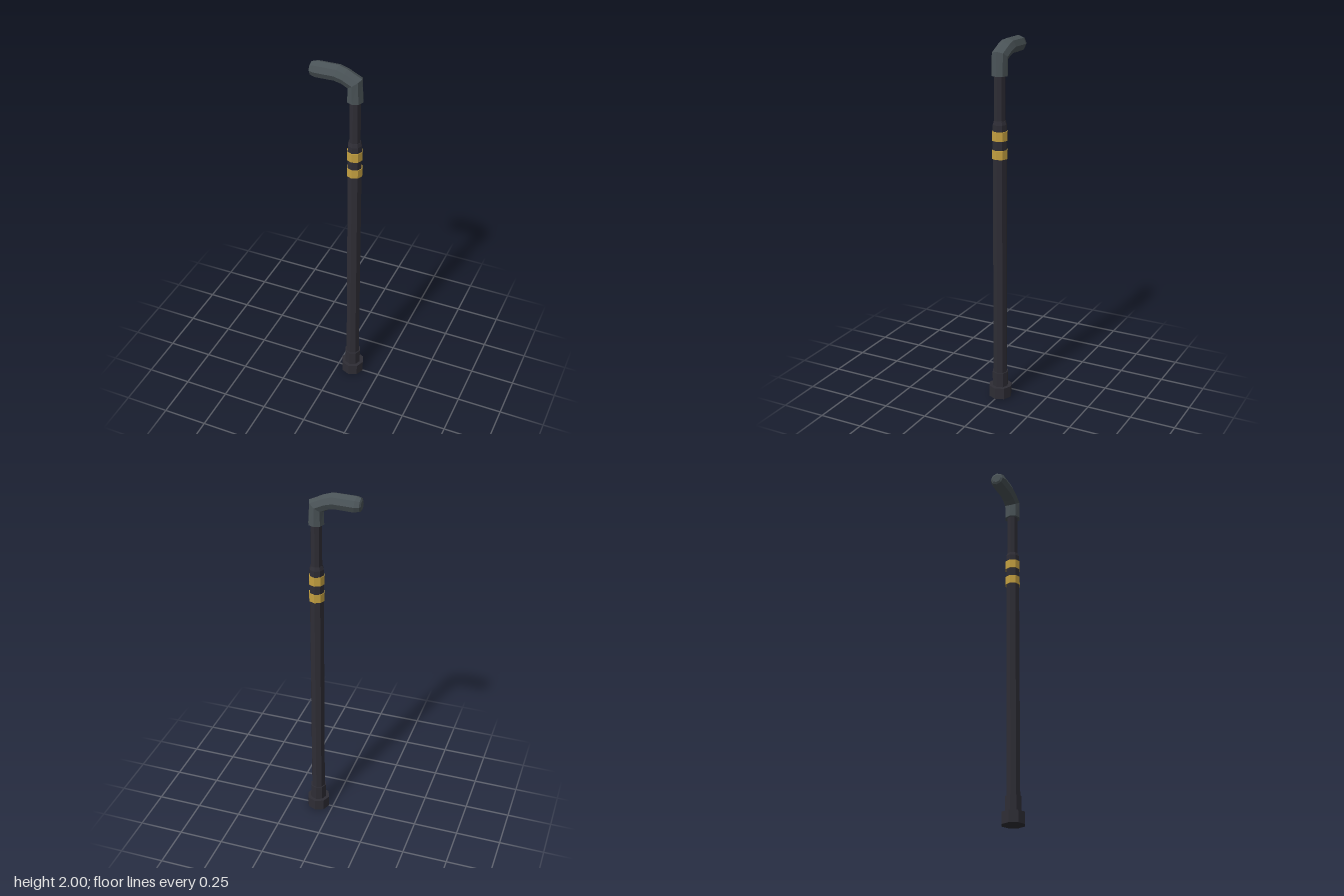
import * as THREE from 'three';

const AXIS_X = 0.088;
const SIDES = 8;

const makeMaterial = (name, color) => {
  const m = new THREE.MeshStandardMaterial({ color, flatShading: true });
  m.name = name;
  return m;
};

// Skin octagonal rings, each given by its inner and outer point in the xy plane and its half width in z
function loftHandle(rings) {
  const pos = [];
  const index = [];
  for (const [ix, iy, ox, oy, w] of rings) {
    for (let j = 0; j < SIDES; j++) {
      const a = (j / SIDES) * Math.PI * 2;
      const t = (1 + Math.cos(a)) / 2;
      pos.push(ix + (ox - ix) * t, iy + (oy - iy) * t, w * Math.sin(a));
    }
  }
  for (let i = 0; i < rings.length - 1; i++) {
    for (let j = 0; j < SIDES; j++) {
      const a = i * SIDES + j;
      const b = i * SIDES + ((j + 1) % SIDES);
      index.push(a, a + SIDES, b, b, a + SIDES, b + SIDES);
    }
  }
  // End caps
  const last = (rings.length - 1) * SIDES;
  for (let j = 1; j < SIDES - 1; j++) {
    index.push(0, j, j + 1);
    index.push(last, last + j + 1, last + j);
  }
  const g = new THREE.BufferGeometry();
  g.setAttribute('position', new THREE.Float32BufferAttribute(pos, 3));
  g.setIndex(index);
  const flat = g.toNonIndexed();
  flat.computeVertexNormals();
  return flat;
}

export function createModel() {
  const cane = new THREE.Group();
  cane.name = 'walkingCane';
  const black = makeMaterial('shaftBlack', 0x2e2d35);
  const grey = makeMaterial('handleGrey', 0x4a5357);
  const gold = makeMaterial('bandGold', 0xc4a040);

  // Octagonal section of the stick between two heights
  const section = (name, y0, y1, r0, r1, material) => {
    const mesh = new THREE.Mesh(new THREE.CylinderGeometry(r1, r0, y1 - y0, SIDES), material);
    mesh.position.set(AXIS_X, (y0 + y1) / 2, 0);
    mesh.name = name;
    cane.add(mesh);
  };

  // Rubber foot and its collar
  section('foot', 0, 0.065, 0.065, 0.065, black);
  section('footCollar', 0.065, 0.15, 0.045, 0.045, black);

  // Telescoping shaft
  section('lowerShaft', 0.15, 1.565, 0.039, 0.039, black);
  section('shaftShoulder', 1.565, 1.585, 0.039, 0.032, black);
  section('upperShaft', 1.585, 1.83, 0.031, 0.031, black);

  // Gold bands
  section('lowerBand', 1.382, 1.43, 0.043, 0.043, gold);
  section('upperBand', 1.48, 1.53, 0.043, 0.043, gold);

  // Bent grip: socket, elbow, curve, bar and rounded tip
  const handle = new THREE.Mesh(loftHandle([
    [0.045, 1.82, 0.131, 1.82, 0.045],
    [0.047, 1.892, 0.124, 1.947, 0.045],
    [0.022, 1.905, 0.045, 1.985, 0.045],
    [-0.018, 1.913, 0.0, 2.0, 0.045],
    [-0.118, 1.91, -0.125, 1.998, 0.045],
    [-0.146, 1.918, -0.147, 1.99, 0.037],
    [-0.153, 1.93, -0.153, 1.978, 0.025],
  ]), grey);
  handle.name = 'handle';
  cane.add(handle);

  return cane;
}
